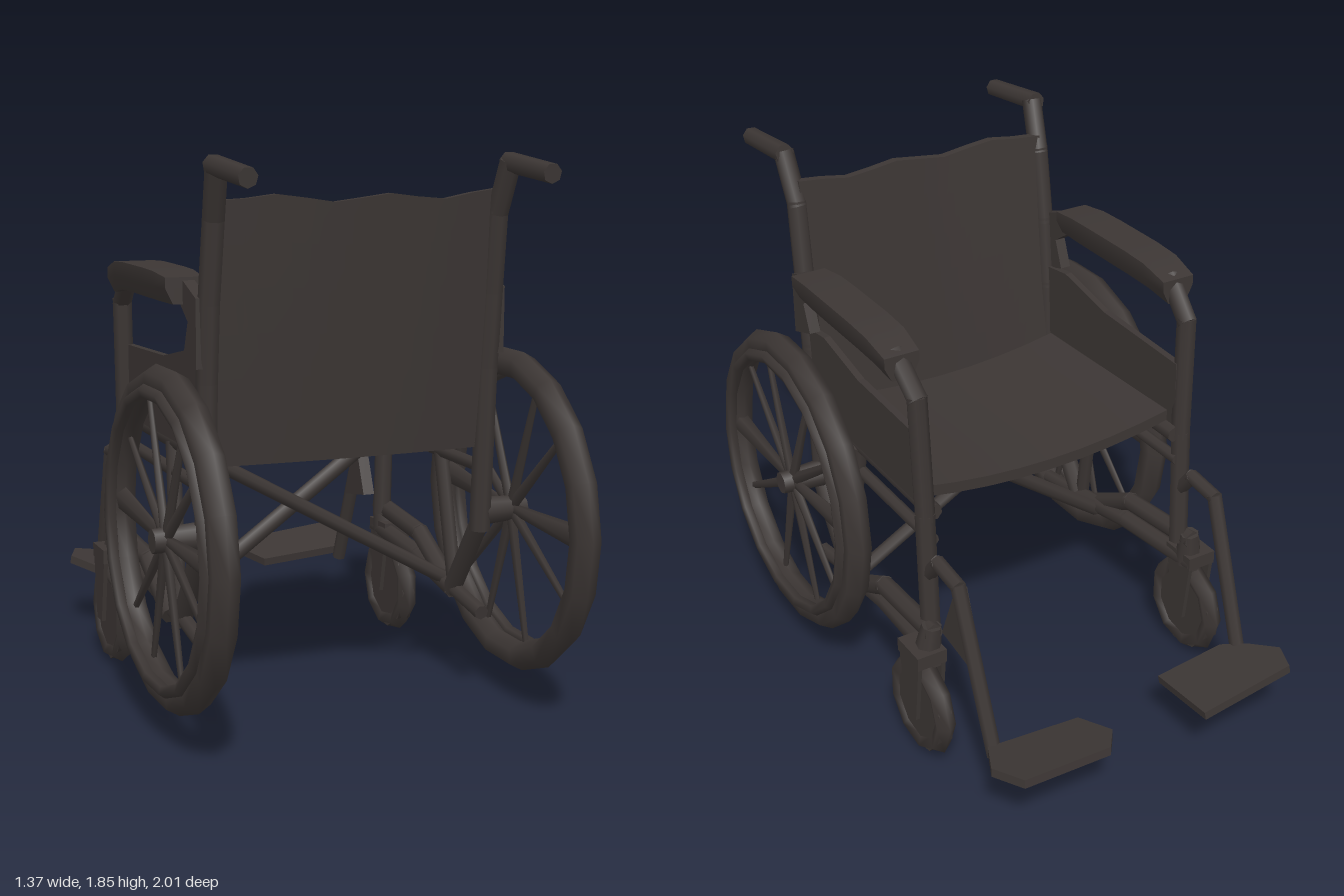
import * as THREE from 'three';
import { mergeGeometries } from 'three/addons/utils/BufferGeometryUtils.js';

const V = (x, y, z) => new THREE.Vector3(x, y, z);

// Straight capped rod from a to b, slightly overlapping its neighbours
function rod(a, b, ra, rb = ra, sides = 7) {
  const dir = b.clone().sub(a);
  const len = dir.length() + (ra + rb) * 0.3;
  const g = new THREE.CylinderGeometry(rb, ra, len, sides);
  g.applyQuaternion(new THREE.Quaternion().setFromUnitVectors(V(0, 1, 0), dir.normalize()));
  const mid = a.clone().add(b).multiplyScalar(0.5);
  return g.translate(mid.x, mid.y, mid.z);
}

// Bent pipe through [x, y, z] points, x mirrored by s
function pipe(s, r, pts) {
  const p = pts.map(([x, y, z]) => V(s * x, y, z));
  return mergeGeometries(p.slice(1).map((b, i) => rod(p[i], b, r)));
}

// Outline in (z, y) extruded along x, centred on the given x
function sidePlate(points, x, thick) {
  const shape = new THREE.Shape(points.map(([z, y]) => new THREE.Vector2(-z, y)));
  const g = new THREE.ExtrudeGeometry(shape, { depth: thick, bevelEnabled: false });
  return g.translate(0, 0, -thick / 2).rotateY(Math.PI / 2).translate(x, 0, 0);
}

// Box whose vertices are moved by a rule
function bentBox(w, h, d, segs, rule) {
  const g = new THREE.BoxGeometry(w, h, d, ...segs);
  const p = g.attributes.position;
  for (let i = 0; i < p.count; i++) {
    const v = V(p.getX(i), p.getY(i), p.getZ(i));
    rule(v);
    p.setXYZ(i, v.x, v.y, v.z);
  }
  g.computeVertexNormals();
  return g;
}

export function createModel() {
  const group = new THREE.Group();
  const charcoal = new THREE.MeshStandardMaterial({ color: 0x3c3634 });
  charcoal.name = 'charcoal';
  const add = (name, geometry, parent = group) => {
    const m = new THREE.Mesh(geometry, charcoal);
    m.name = name;
    parent.add(m);
    return m;
  };

  // Sling backrest, leaning back with a slightly wavy top edge
  add('backrest', bentBox(0.96, 0.85, 0.03, [10, 6, 1], (v) => {
    const t = (v.y + 0.425) / 0.85;
    const bow = 1 - (v.x / 0.48) ** 2;
    v.z += 0.46 + 0.09 * t + 0.02 * bow;
    v.y += 1.305 - 0.01 * t * bow + 0.012 * t * Math.sin(v.x * 17);
  }));

  // Sagging sling seat, stopping just short of the backrest
  add('seat', bentBox(0.98, 0.04, 0.745, [8, 1, 4], (v) => {
    const bow = 1 - (v.x / 0.49) ** 2;
    v.y += 0.95 - 0.05 * bow - 0.03 * v.z;
    v.z += 0.07;
  }));

  // Folding cross brace under the seat
  add('crossBrace', rod(V(0.3, 0.91, 0.125), V(-0.49, 0.34, 0.125), 0.028));
  add('crossBrace', rod(V(-0.46, 0.89, 0.19), V(0.54, 0.33, 0.19), 0.025));

  for (const s of [-1, 1]) {
    const side = new THREE.Group();
    side.name = s > 0 ? 'leftSide' : 'rightSide';
    group.add(side);

    // Main wheel: tyre, hand rim, hub and tapered spokes
    const wheel = new THREE.Group();
    wheel.name = 'mainWheel';
    wheel.position.set(s * 0.61, 0.652, 0.447);
    wheel.rotation.set(0, s * -0.015, s > 0 ? 0.02 : 0);
    side.add(wheel);
    const ring = (R, r, x, sides) =>
      new THREE.TorusGeometry(R, r, sides, 18).rotateY(Math.PI / 2).translate(x, 0, 0);
    add('tyre', ring(0.508, 0.05, 0, 6), wheel);
    add('handRim', ring(0.475, 0.022, s * 0.045, 5), wheel);
    add('hub', rod(V(-s * 0.09, 0, 0), V(s * 0.04, 0, 0), 0.05, 0.04, 8), wheel);
    for (let i = 0; i < 10; i++) {
      const a = (i / 10) * Math.PI * 2 + 0.1 * Math.sin(i * 2.3);
      const wide = i % 5 === 0;
      const end = V(0, 0.48 * Math.sin(a), 0.48 * Math.cos(a));
      const g = rod(V(s * 0.01, 0, 0), end, wide ? 0.018 : 0.024, wide ? 0.045 : 0.013, 5);
      add('spoke', g.scale(0.7, 1, 1), wheel);
    }

    // Caster: faceted wheel, fork arms and stem
    const cx = s * 0.555;
    const caster = new THREE.CylinderGeometry(0.165, 0.165, 0.05, 9).rotateZ(Math.PI / 2);
    add('casterWheel', caster.translate(cx, 0.182, -0.385), side);
    add('casterTread', new THREE.TorusGeometry(0.15, 0.038, 5, 9)
      .rotateY(Math.PI / 2).translate(cx, 0.188, -0.385), side);
    for (const o of [-0.045, 0.045])
      add('casterFork', sidePlate(
        [[-0.32, 0.42], [-0.46, 0.42], [-0.43, 0.16], [-0.37, 0.16]], cx + o, 0.015), side);
    add('casterBridge', new THREE.BoxGeometry(0.11, 0.05, 0.14).translate(cx, 0.41, -0.39), side);
    add('casterStem', rod(V(s * 0.54, 0.4, -0.4), V(s * 0.53, 0.5, -0.41), 0.05, 0.035), side);

    // Back post and push handle
    add('backPost', pipe(s, 0.036, [
      [0.49, 0.6, 0.46], [0.49, 1.15, 0.49], [0.49, 1.4, 0.515],
      [0.485, 1.66, 0.55], [0.495, 1.82, 0.61]]), side);
    add('pushHandle', rod(V(s * 0.5, 1.825, 0.6), V(s * 0.495, 1.798, 0.87), 0.034, 0.032), side);

    // Armrest pad with rounded underside, its rear bracket and front post
    const pad = bentBox(0.14, 0.1, 0.66, [4, 2, 6], (v) => {
      const end = Math.max(0, Math.abs(v.z) - 0.2) / 0.13;
      v.x *= (v.y < -0.01 ? 0.6 : 1) * (1 - 0.12 * end);
      v.y += 1.44 - 0.02 * (v.z < 0 ? end : 0);
      if (v.y > 1.45) v.y -= 0.015 * end;
      v.z += 0.065;
    });
    add('armPad', pad.translate(s * 0.53, 0, 0), side);
    add('armBracket', sidePlate(
      [[0.52, 1.42], [0.38, 1.47], [0.35, 1.4], [0.44, 1.34], [0.4, 1.24], [0.52, 1.2]],
      s * 0.515, 0.04), side);
    add('frontPost', pipe(s, 0.034, [
      [0.53, 1.44, -0.22], [0.52, 1.33, -0.335], [0.51, 0.9, -0.35], [0.51, 0.48, -0.37]]), side);

    // Side guard panel
    add('sideGuard', sidePlate([
      [0.5, 0.92], [0.5, 1.22], [0.35, 1.24], [0.1, 1.19], [-0.34, 1.175], [-0.35, 0.92]],
      s * 0.495, 0.025), side);

    // Seat rails and lower frame
    add('seatRail', pipe(s, 0.03, [[0.48, 0.91, 0.47], [0.48, 0.91, -0.35]]), side);
    add('middleRail', pipe(s, 0.022, [[0.49, 0.81, 0.46], [0.49, 0.81, -0.36]]), side);
    add('lowerRail', pipe(s, 0.034, [
      [0.5, 0.62, 0.45], [0.5, 0.33, 0.25], [0.51, 0.38, -0.05], [0.53, 0.4, -0.44]]), side);
    add('tippingLever', pipe(s, 0.026, [[0.5, 0.34, 0.22], [0.5, 0.3, 0.46]]), side);
    add('upperRail', pipe(s, 0.034, [
      [0.52, 0.33, 0.18], [0.52, 0.46, -0.06], [0.53, 0.49, -0.42]]), side);
    add('frameStrut', pipe(s, 0.026, [[0.49, 0.9, 0.14], [0.51, 0.36, 0.24]]), side);

    // Footrest hanger and footplate, with a calf plate on one side only
    add('footrestHanger', pipe(s, 0.026, [
      [0.51, 0.68, -0.36], [0.51, 0.765, -0.43], [0.51, 0.75, -0.56], [0.5, 0.21, -0.76]]), side);
    if (s > 0) add('calfPlate', sidePlate(
      [[-0.56, 0.74], [-0.47, 0.52], [-0.65, 0.49]], s * 0.5, 0.045), side);
    const outline = s > 0
      ? [[0.13, -0.9], [0.2, -0.99], [0.54, -1.01], [0.59, -0.89], [0.53, -0.77], [0.18, -0.77]]
      : [[0.2, -0.98], [0.56, -0.98], [0.6, -0.88], [0.53, -0.78], [0.46, -0.72], [0.2, -0.71]];
    const plate = new THREE.Shape(outline.map(([x, z]) => new THREE.Vector2(s * x, -z)));
    const plateGeo = new THREE.ExtrudeGeometry(plate, { depth: 0.03, bevelEnabled: false });
    plateGeo.rotateX(-Math.PI / 2).translate(0, 0, 0.75).rotateX(s > 0 ? 0.17 : 0.1);
    plateGeo.rotateZ(s > 0 ? 0.08 : -0.15).translate(0, s > 0 ? 0.175 : 0.15, -0.75);
    add('footplate', plateGeo, side);
  }
  return group;
}
